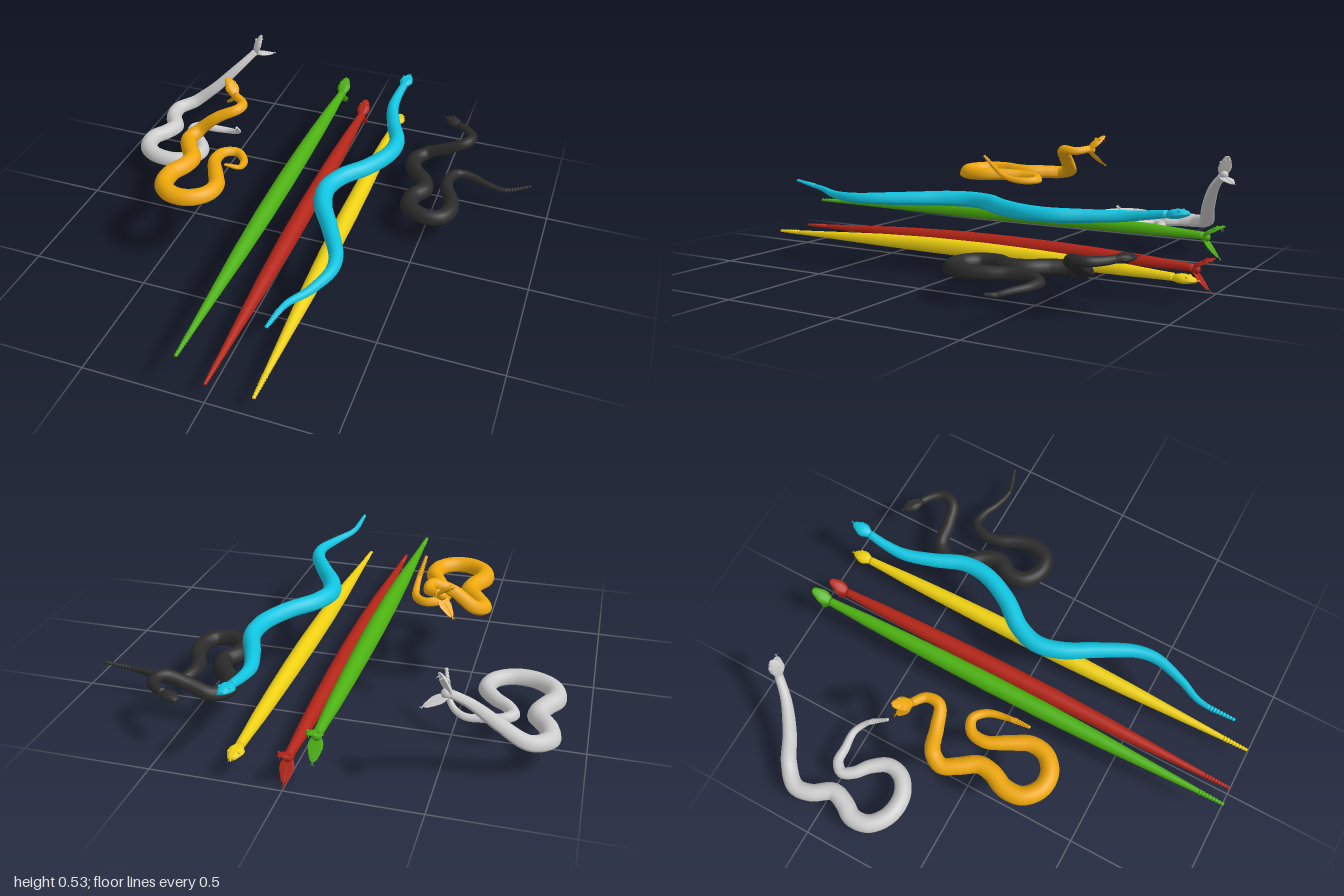
import * as THREE from 'three';
import { toCreasedNormals } from 'three/addons/utils/BufferGeometryUtils.js';

const SIDES = 20;

// Closed skin through rings of { p, side, up, w, top, bottom }
function loft(rings) {
  const pos = [], idx = [], n = rings.length;
  for (const r of rings) {
    for (let j = 0; j < SIDES; j++) {
      const a = (j / SIDES) * Math.PI * 2, s = Math.sin(a);
      const v = r.p.clone().addScaledVector(r.side, Math.cos(a) * r.w)
        .addScaledVector(r.up, s * (s > 0 ? r.top : r.bottom));
      pos.push(v.x, v.y, v.z);
    }
  }
  for (let i = 0; i < n - 1; i++) {
    for (let j = 0; j < SIDES; j++) {
      const k = (j + 1) % SIDES, a = i * SIDES, b = a + SIDES;
      idx.push(a + j, a + k, b + k, a + j, b + k, b + j);
    }
  }
  // End caps
  const last = (n - 1) * SIDES, c = n * SIDES;
  pos.push(...rings[0].p.toArray(), ...rings[n - 1].p.toArray());
  for (let j = 0; j < SIDES; j++) {
    const k = (j + 1) % SIDES;
    idx.push(c, k, j, c + 1, last + j, last + k);
  }
  const g = new THREE.BufferGeometry();
  g.setAttribute('position', new THREE.Float32BufferAttribute(pos, 3));
  g.setIndex(idx);
  g.computeVertexNormals();
  return g;
}

// Part of a curve skinned with a flat-bellied section of varying width
function sweep(curve, u0, u1, steps, width) {
  const rings = [], Y = new THREE.Vector3(0, 1, 0);
  for (let i = 0; i <= steps; i++) {
    const u = u0 + (u1 - u0) * (i / steps), w = width(u);
    const t = curve.getTangentAt(u);
    const side = new THREE.Vector3().crossVectors(Y, t).normalize();
    const up = new THREE.Vector3().crossVectors(t, side);
    rings.push({ p: curve.getPointAt(u), side, up, w, top: w * 1.15, bottom: w * 0.5 });
  }
  return loft(rings);
}

// Body half-width from neck (0) to tail (1)
const GIRTH = [[0, 0.018], [0.04, 0.021], [0.1, 0.027], [0.2, 0.033], [0.3, 0.037], [0.42, 0.0395],
  [0.56, 0.038], [0.7, 0.031], [0.82, 0.021], [0.94, 0.011], [1, 0.006]];
function girth(u) {
  let i = 0;
  while (i < GIRTH.length - 2 && u > GIRTH[i + 1][0]) i++;
  const [a, ra] = GIRTH[i], [b, rb] = GIRTH[i + 1];
  return ra + ((rb - ra) * (u - a)) / (b - a);
}
const RATTLE = 0.94, BEADS = 8;
const rattleGirth = (u) => {
  const s = ((u - RATTLE) / (1 - RATTLE)) * BEADS;
  return girth(u) * (0.8 + 0.4 * Math.abs(Math.sin(s * Math.PI)));
};

// Head sections: distance forward, half-width, height
const HEAD = [[-0.008, 0.012, 0.012], [0.008, 0.02, 0.018], [0.026, 0.03, 0.022], [0.042, 0.031, 0.022],
  [0.06, 0.024, 0.018], [0.078, 0.016, 0.012], [0.086, 0.008, 0.006]];
function jawGeometry(upper, open) {
  const side = new THREE.Vector3(1, 0, 0), up = new THREE.Vector3(0, 1, 0);
  const thin = open ? 0.75 : 1;
  const rings = HEAD.map(([z, w, h]) => ({
    p: new THREE.Vector3(0, 0, z), side, up,
    w: w * (upper ? 1 : 0.88),
    top: upper ? h * thin : 0.001,
    bottom: upper ? 0.001 : h * 0.65 * thin,
  }));
  return toCreasedNormals(loft(rings), 0.9);
}

function makeHead(mat, open) {
  const head = new THREE.Group();
  head.name = 'head';
  const add = (parent, name, geo, x = 0, y = 0, z = 0) => {
    const m = new THREE.Mesh(geo, mat);
    m.name = name;
    m.position.set(x, y, z);
    parent.add(m);
    return m;
  };
  const upper = add(head, 'upperJaw', jawGeometry(true, open));
  const lower = add(head, 'lowerJaw', jawGeometry(false, open));
  if (open) {
    upper.rotation.x = -0.53;
    lower.rotation.x = 0.88;
    upper.scale.z = lower.scale.z = 1.1;
    add(head, 'jawHinge', new THREE.SphereGeometry(0.019, 16, 12), 0, 0, 0.008);
  }
  for (const s of [-1, 1]) {
    const eye = add(upper, 'eye', new THREE.SphereGeometry(0.005, 10, 8), s * 0.019, open ? 0.012 : 0.014, 0.054);
    eye.scale.z = 1.3;
    if (open) {
      const fang = add(upper, 'fang', new THREE.ConeGeometry(0.003, 0.018, 8), s * 0.009, -0.008, 0.072);
      fang.rotation.x = Math.PI;
    }
    // One half of the forked tongue
    const path = new THREE.CatmullRomCurve3([
      new THREE.Vector3(0, 0.002, 0.03), new THREE.Vector3(0, 0.003, 0.085), new THREE.Vector3(s * 0.005, 0.001, 0.099)]);
    add(lower, 'tongue', new THREE.TubeGeometry(path, 10, 0.0014, 6));
  }
  return head;
}

function makeSnake(name, color, open, points) {
  const snake = new THREE.Group();
  snake.name = name;
  const mat = new THREE.MeshStandardMaterial({ color });
  const curve = new THREE.CatmullRomCurve3(points.map((p) => new THREE.Vector3(...p)));
  curve.arcLengthDivisions = 500;
  const body = new THREE.Mesh(sweep(curve, 0, RATTLE, 150, girth), mat);
  body.name = 'body';
  const rattle = new THREE.Mesh(sweep(curve, RATTLE, 1, BEADS * 6, rattleGirth), mat);
  rattle.name = 'rattle';
  const head = makeHead(mat, open);
  head.position.copy(curve.getPointAt(0));
  head.lookAt(head.position.clone().sub(curve.getTangentAt(0)));
  snake.add(body, rattle, head);
  return snake;
}

const straight = (x, y, neck) => [[x, y, neck], [x, y + 0.006, -0.3], [x, y + 0.006, 0.3], [x, y, 0.99]];

export function createModel() {
  const model = new THREE.Group();
  model.name = 'snakes';
  model.add(
    makeSnake('redSnake', 0xb32417, true, straight(0.003, 0.09, -0.91)),
    makeSnake('greenSnake', 0x4cb010, true, straight(-0.103, 0.196, -0.91)),
    makeSnake('yellowSnake', 0xeed010, false, straight(0.19, 0.09, -0.9)),

    // Slithering
    makeSnake('blueSnake', 0x0fc4e0, false, [
      [0.216, 0.322, -0.88], [0.209, 0.309, -0.8], [0.212, 0.297, -0.71], [0.252, 0.291, -0.58],
      [0.302, 0.29, -0.45], [0.297, 0.29, -0.34], [0.237, 0.29, -0.21], [0.152, 0.29, -0.1],
      [0.12, 0.29, 0], [0.144, 0.29, 0.106], [0.218, 0.29, 0.24], [0.292, 0.29, 0.39],
      [0.302, 0.29, 0.48], [0.262, 0.292, 0.61], [0.212, 0.304, 0.715], [0.197, 0.332, 0.875]]),

    // Coiled, neck raised
    makeSnake('greySnake', 0xcccccc, true, [
      [-0.535, 0.383, -0.845], [-0.6, 0.315, -0.785], [-0.7, 0.21, -0.73], [-0.8, 0.13, -0.69],
      [-0.867, 0.113, -0.62], [-0.858, 0.113, -0.545], [-0.81, 0.113, -0.465], [-0.83, 0.113, -0.4],
      [-0.865, 0.113, -0.34], [-0.855, 0.113, -0.265], [-0.786, 0.113, -0.21], [-0.69, 0.113, -0.204],
      [-0.619, 0.113, -0.25], [-0.602, 0.113, -0.317], [-0.644, 0.113, -0.386], [-0.7, 0.113, -0.434],
      [-0.723, 0.113, -0.48], [-0.69, 0.113, -0.518], [-0.628, 0.108, -0.524], [-0.55, 0.108, -0.53],
      [-0.495, 0.132, -0.497], [-0.453, 0.23, -0.395]]),

    makeSnake('orangeSnake', 0xeda60a, true, [
      [-0.4, 0.477, -0.285], [-0.35, 0.468, -0.245], [-0.352, 0.47, -0.185], [-0.43, 0.43, -0.155],
      [-0.51, 0.36, -0.135], [-0.54, 0.343, -0.08], [-0.507, 0.343, -0.016], [-0.464, 0.343, 0.053],
      [-0.47, 0.343, 0.116], [-0.5, 0.343, 0.185], [-0.494, 0.343, 0.262], [-0.433, 0.343, 0.315],
      [-0.36, 0.343, 0.315], [-0.302, 0.343, 0.268], [-0.29, 0.343, 0.196], [-0.327, 0.343, 0.116],
      [-0.37, 0.34, 0.026], [-0.359, 0.337, -0.042], [-0.306, 0.334, -0.069], [-0.259, 0.334, -0.026],
      [-0.243, 0.352, 0.053], [-0.257, 0.44, 0.17]]),

    makeSnake('blackSnake', 0x2a2a2a, false, [
      [0.515, 0.205, -0.81], [0.555, 0.202, -0.785], [0.594, 0.2, -0.735], [0.575, 0.196, -0.677],
      [0.496, 0.16, -0.656], [0.402, 0.12, -0.645], [0.36, 0.113, -0.58], [0.385, 0.113, -0.503],
      [0.443, 0.113, -0.434], [0.459, 0.113, -0.37], [0.422, 0.113, -0.3], [0.43, 0.113, -0.23],
      [0.498, 0.113, -0.183], [0.57, 0.113, -0.195], [0.602, 0.113, -0.265], [0.588, 0.113, -0.344],
      [0.551, 0.113, -0.423], [0.547, 0.113, -0.503], [0.578, 0.108, -0.556], [0.641, 0.104, -0.556],
      [0.721, 0.102, -0.524], [0.8, 0.104, -0.508], [0.907, 0.134, -0.535]]),
  );
  return model;
}
